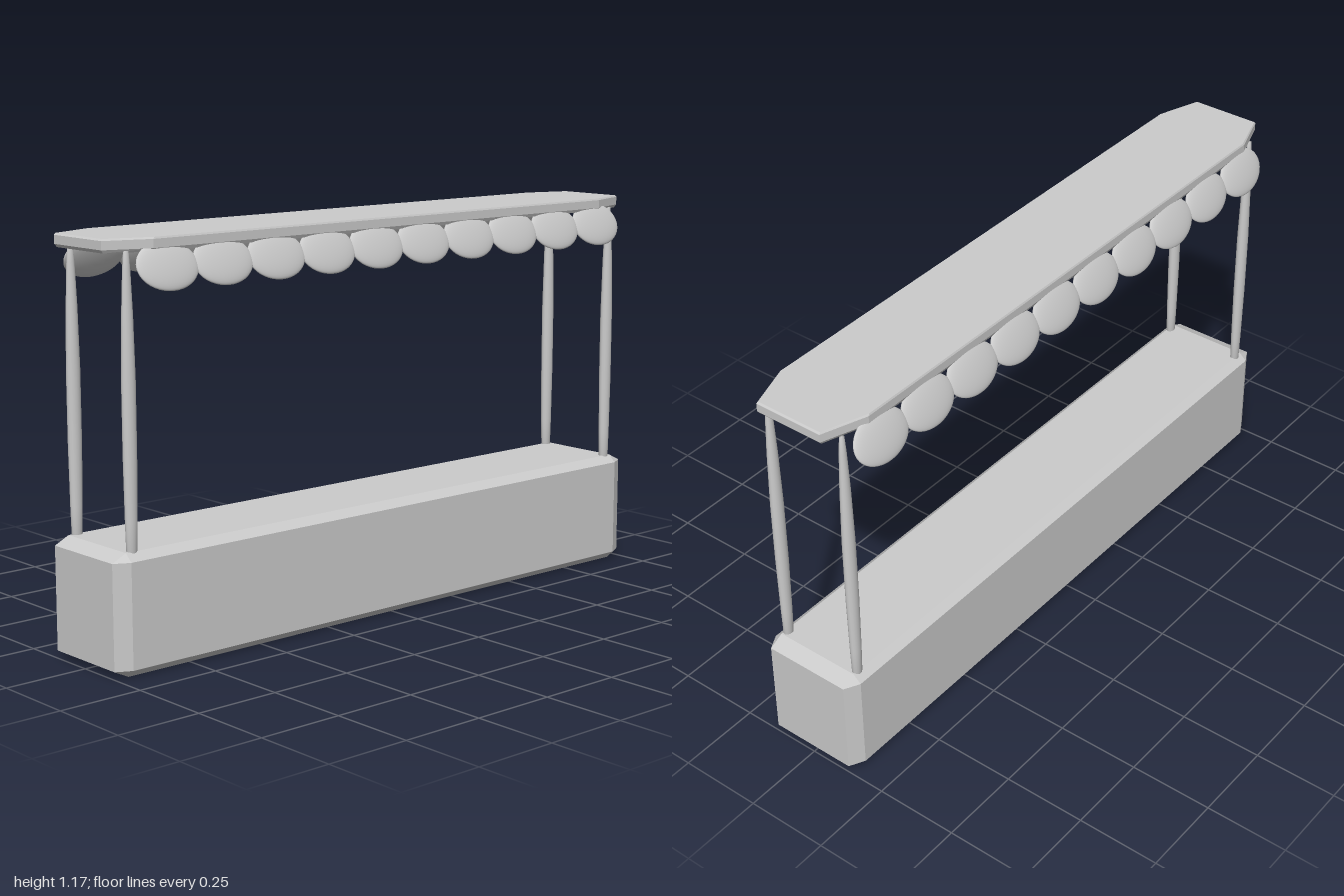
import * as THREE from 'three';
import { ConvexGeometry } from 'three/addons/geometries/ConvexGeometry.js';

const mat = new THREE.MeshStandardMaterial({ color: 0xcccccc });

function add(parent, name, geometry, x = 0, y = 0, z = 0) {
  const mesh = new THREE.Mesh(geometry, mat);
  mesh.name = name;
  mesh.position.set(x, y, z);
  parent.add(mesh);
  return mesh;
}

// Box with every edge and corner cut off; b holds the cut along x, y and z
function chamferedBox(h, b) {
  const points = [];
  for (const sx of [-1, 1]) for (const sy of [-1, 1]) for (const sz of [-1, 1]) {
    for (let full = 0; full < 3; full++) {
      const [x, y, z] = h.map((v, i) => (i === full ? v : v - b[i]));
      points.push(new THREE.Vector3(sx * x, sy * y, sz * z));
    }
  }
  return new ConvexGeometry(points);
}

// Long octagonal slab, its rim slightly rounded
function canopySlab() {
  const points = [];
  const rings = [[-0.019, 0.975], [-0.01, 1], [0.014, 1], [0.019, 0.985]];
  for (const [y, s] of rings) {
    for (const [x, z] of [[0.107, 0.993], [0.153, 0.86]]) {
      for (const sx of [-1, 1]) for (const sz of [-1, 1]) {
        points.push(new THREE.Vector3(sx * x * s, y, sz * (z - (1 - s) * 0.3)));
      }
    }
  }
  return new ConvexGeometry(points);
}

export function createModel() {
  const stall = new THREE.Group();
  stall.name = 'marketStall';

  // Counter and canopy
  add(stall, 'counter', chamferedBox([0.157, 0.17, 1], [0.024, 0.022, 0.045]), 0.003, 0.172, 0);
  add(stall, 'canopy', canopySlab(), 0.005, 1.154, 0.003);

  // Slim posts, thickest at mid-height
  const profile = [[0, 0.32], [0.012, 0.32], [0.014, 0.42], [0.016, 0.6], [0.016, 0.8],
    [0.013, 0.97], [0.009, 1.09], [0.006, 1.14], [0, 1.14]]
    .map(([r, y]) => new THREE.Vector2(r, y));
  const postGeometry = new THREE.LatheGeometry(profile, 16);
  postGeometry.scale(1, 1, 1.3);
  for (const x of [-0.125, 0.128]) for (const z of [-0.935, 0.93]) {
    add(stall, 'post', postGeometry, x, 0, z);
  }

  // Row of flattened, outward-tilted scallops along each long side
  const scallopGeometry = new THREE.SphereGeometry(1, 32, 20);
  scallopGeometry.scale(0.014, 0.069, 0.1);
  for (const [name, x, tilt] of [['rightValance', -0.163, -0.46], ['leftValance', 0.166, 0.4]]) {
    const valance = new THREE.Group();
    valance.name = name;
    for (let i = 0; i < 10; i++) {
      const scallop = add(valance, 'scallop', scallopGeometry, x, 1.096, 0.825 - i * 0.184);
      scallop.rotation.z = tilt;
    }
    stall.add(valance);
  }
  return stall;
}
